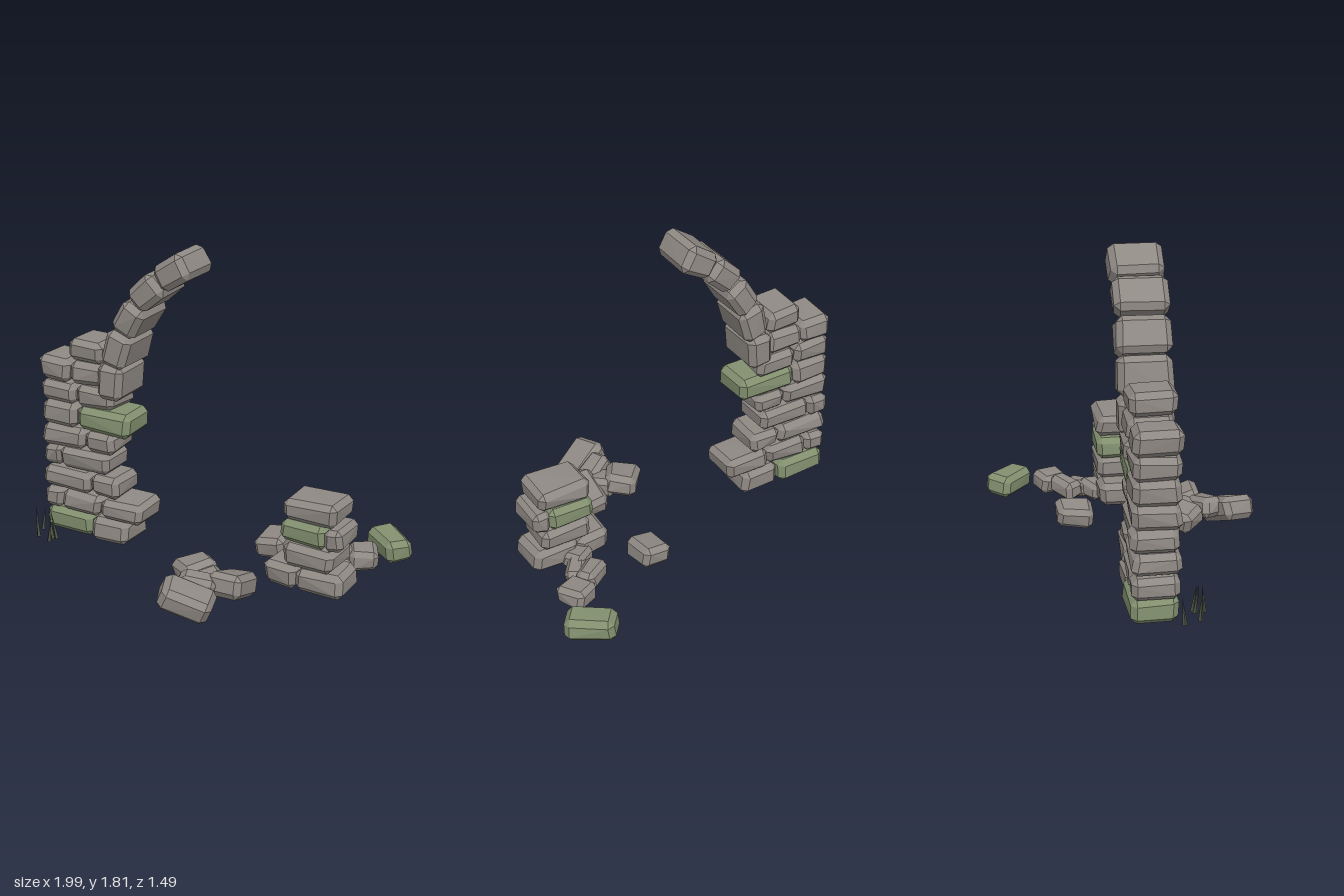
import * as THREE from 'three';
import { ConvexGeometry } from 'three/addons/geometries/ConvexGeometry.js';

export function createModel() {
  const model = new THREE.Group();
  model.name = 'ruinedArch';
  const mat = (name, color) => {
    const m = new THREE.MeshStandardMaterial({ color, flatShading: true });
    m.name = name;
    return m;
  };
  const stone = mat('greyStone', 0x8f8984);
  const moss = mat('mossyStone', 0x82906f);
  const grass = mat('dryGrass', 0x4f5646);

  let seed = 7;
  const rand = () => (seed = (seed * 16807) % 2147483647) / 2147483647;

  // Rough block: each corner is nudged inwards, then cut by three bevel points
  function blockGeometry(w, h, d) {
    const pts = [];
    const c = Math.min(0.032, Math.min(w, h, d) * 0.22);
    for (const sx of [-1, 1]) for (const sy of [-1, 1]) for (const sz of [-1, 1]) {
      const x = w / 2 - rand() * 0.012, y = h / 2 - rand() * 0.012, z = d / 2 - rand() * 0.015;
      pts.push(
        new THREE.Vector3(sx * x, sy * (y - c), sz * (z - c)),
        new THREE.Vector3(sx * (x - c), sy * y, sz * (z - c)),
        new THREE.Vector3(sx * (x - c), sy * (y - c), sz * z));
    }
    return new ConvexGeometry(pts);
  }

  function group(name) {
    const g = new THREE.Group();
    g.name = name;
    model.add(g);
    return g;
  }

  function block(parent, name, material, pos, size, rot = [0, 0, 0]) {
    const m = new THREE.Mesh(blockGeometry(...size), material);
    m.name = name;
    m.position.set(...pos);
    m.rotation.set(...rot, 'YXZ');
    parent.add(m);
  }

  // Courses: [bottom, top, then stones as [left, right, mossy]]
  function courses(parent, rows) {
    for (const [y0, y1, ...stones] of rows) for (const [x0, x1, mossy] of stones) {
      block(parent, mossy ? 'mossyBlock' : 'wallBlock', mossy ? moss : stone,
        [(x0 + x1) / 2, (y0 + y1) / 2, 0.02 + (rand() - 0.5) * 0.015],
        [x1 - x0 + 0.01, y1 - y0 + 0.012, 0.265],
        [0, (rand() - 0.5) * 0.04, (rand() - 0.5) * 0.03]);
    }
  }

  // Standing pier
  courses(group('pier'), [
    [0.06, 0.2, [-0.99, -0.68, true], [-0.68, -0.44]],
    [0.2, 0.325, [-1, -0.87], [-0.87, -0.61], [-0.61, -0.34]],
    [0.33, 0.455, [-1, -0.68], [-0.68, -0.49]],
    [0.46, 0.585, [-1, -0.87], [-0.88, -0.56]],
    [0.59, 0.715, [-1, -0.71], [-0.71, -0.52]],
    [0.715, 0.85, [-1, -0.76], [-0.76, -0.41, true]],
    [0.85, 0.975, [-1, -0.76], [-0.76, -0.52]],
    [0.98, 1.115, [-1, -0.8], [-0.8, -0.57]],
    [1.115, 1.24, [-0.8, -0.58]],
  ]);

  // Broken arch springing from the pier: x, y, tilt
  const arch = group('brokenArch');
  for (const [x, y, tilt] of [
    [-0.525, 1.03, -0.05], [-0.48, 1.225, -0.25], [-0.4, 1.41, -0.54],
    [-0.285, 1.58, -0.82], [-0.13, 1.71, -1.02],
  ]) block(arch, 'archStone', stone, [x, y, 0.025], [0.165, 0.215, 0.3], [0, 0, tilt]);

  // Stump of the fallen pier
  courses(group('stump'), [
    [0.06, 0.2, [0.44, 0.635], [0.63, 0.9]],
    [0.195, 0.325, [0.55, 0.85]],
    [0.33, 0.455, [0.53, 0.8, true], [0.79, 0.9]],
    [0.46, 0.585, [0.55, 0.86]],
  ]);

  // Fallen stones behind the stump
  const back = group('backRubble');
  block(back, 'mossyBlock', moss, [0.845, 0.095, -0.61], [0.28, 0.14, 0.18], [0.08, -0.64, -0.06]);
  block(back, 'fallenStone', stone, [0.8, 0.1, -0.365], [0.17, 0.12, 0.19], [0.06, 0.45, 0.05]);
  block(back, 'fallenStone', stone, [0.665, 0.115, -0.28], [0.2, 0.12, 0.13], [0, 0.65, 0.05]);
  block(back, 'fallenStone', stone, [0.705, 0.09, -0.2], [0.17, 0.11, 0.12], [0.15, 0.95, -0.1]);
  block(back, 'fallenStone', stone, [0.65, 0.1, -0.11], [0.17, 0.11, 0.15], [0, 0.6, 0.1]);
  block(back, 'fallenStone', stone, [0.295, 0.11, -0.27], [0.19, 0.13, 0.22], [0.12, 0.03, 0.1]);

  // Heap of fallen stones in front
  const front = group('frontRubble');
  block(front, 'fallenStone', stone, [0.125, 0.14, 0.32], [0.2, 0.14, 0.22], [0.1, -0.65, 0.1]);
  block(front, 'fallenStone', stone, [0.365, 0.12, 0.335], [0.2, 0.14, 0.28], [-0.3, 0.06, 0]);
  block(front, 'fallenStone', stone, [0.235, 0.12, 0.37], [0.17, 0.13, 0.17], [0, 0.9, 0.15]);
  block(front, 'fallenStone', stone, [0.225, 0.145, 0.475], [0.21, 0.13, 0.15], [0.15, 0.45, -0.25]);
  block(front, 'fallenStone', stone, [0.24, 0.115, 0.61], [0.3, 0.15, 0.21], [0.15, 0.38, -0.4]);

  // Thin grass blades at the foot of the pier: x, z, height, lean
  const tuft = group('grassTuft');
  for (const [x, z, h, lean] of [
    [-0.985, 0.16, 0.15, -0.12], [-0.965, 0.255, 0.2, 0.05], [-0.88, 0.245, 0.18, 0.1],
    [-0.86, 0.28, 0.15, -0.1], [-0.865, 0.235, 0.17, 0.15],
  ]) {
    const blade = new THREE.Mesh(new THREE.ConeGeometry(0.013, h, 4), grass);
    blade.name = 'grassBlade';
    blade.position.set(x, 0.055 + h / 2, z);
    blade.rotation.set(lean * 0.6, 0, lean);
    tuft.add(blade);
  }
  return model;
}
